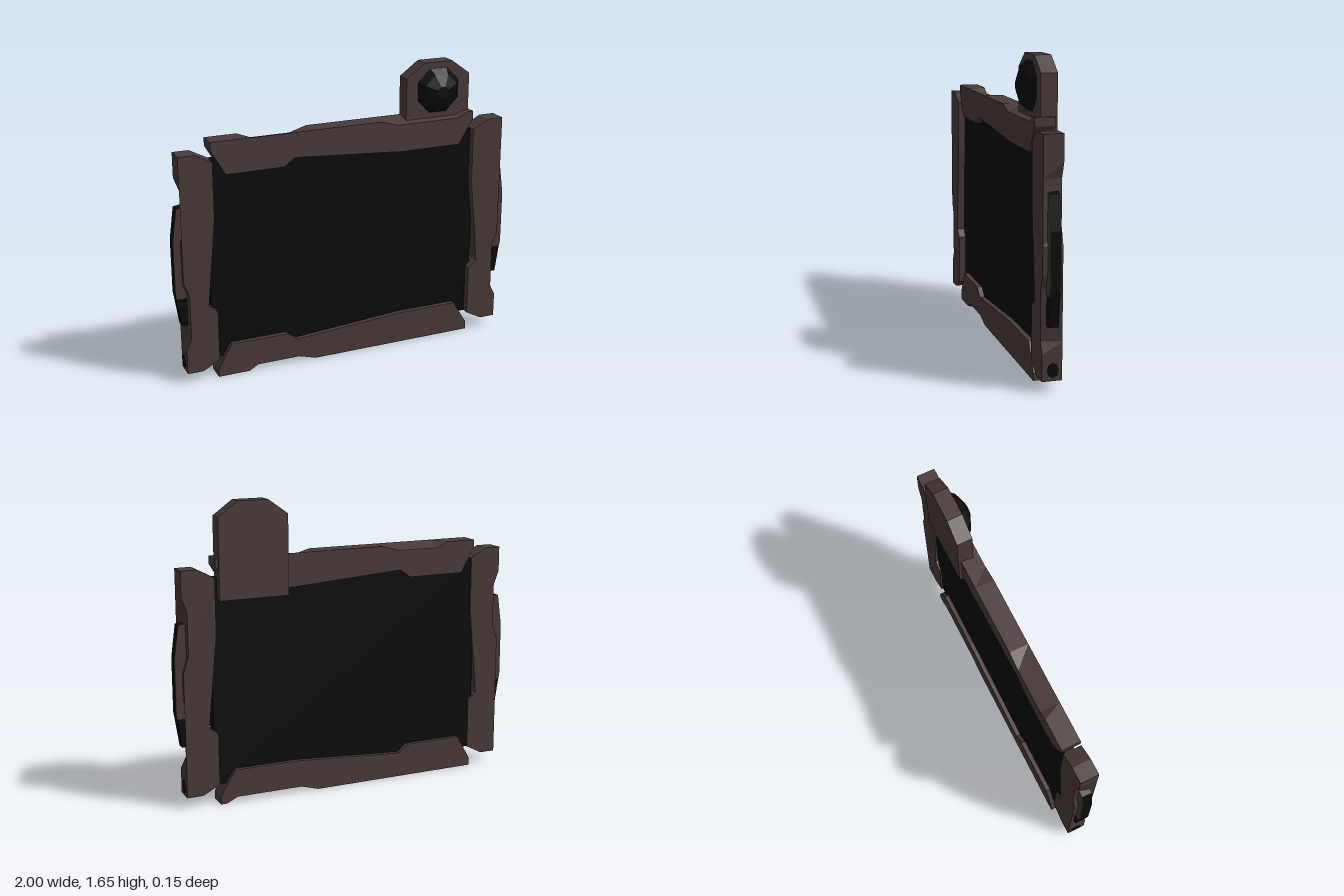
import * as THREE from 'three';

const casing = new THREE.MeshStandardMaterial({ color: 0x4a3b3a });
casing.name = 'dark brown casing';
const black = new THREE.MeshStandardMaterial({ color: 0x0b0b0b });
black.name = 'black glass';

// Flat-shaded solid between a front outline at z0 and a back outline at z1 (equal point counts)
function prism(front, back, z0, z1) {
  let f = front.map(([x, y]) => new THREE.Vector2(x, y));
  let b = back.map(([x, y]) => new THREE.Vector2(x, y));
  if (THREE.ShapeUtils.isClockWise(f)) {
    f.reverse();
    b.reverse();
  }
  const pos = [];
  const put = (p, z) => pos.push(p.x, p.y, z);
  for (const t of THREE.ShapeUtils.triangulateShape(f, [])) t.forEach(i => put(f[i], z0));
  for (const t of THREE.ShapeUtils.triangulateShape(b, [])) [t[0], t[2], t[1]].forEach(i => put(b[i], z1));
  f.forEach((p, i) => {
    const j = (i + 1) % f.length;
    put(p, z0); put(b[i], z1); put(b[j], z1);
    put(p, z0); put(b[j], z1); put(f[j], z0);
  });
  const g = new THREE.BufferGeometry();
  g.setAttribute('position', new THREE.Float32BufferAttribute(pos, 3));
  g.computeVertexNormals();
  return g;
}

export function createModel() {
  const model = new THREE.Group();
  const add = (name, geometry, material, x = 0, y = 0, z = 0) => {
    const m = new THREE.Mesh(geometry, material);
    m.name = name;
    m.position.set(x, y, z);
    model.add(m);
    return m;
  };

  // Screen slab
  add('screen', new THREE.BoxGeometry(1.6, 1.14, 0.055), black, 0, 0.68, -0.0075);

  // Bottom and top rails: shallow cut-outs on opposite outer edges, front and back
  const inner = [[0.775, 0.045], [0.69, 0.185], [0.33, 0.185], [-0.31, 0.14],
    [-0.37, 0.185], [-0.7, 0.185], [-0.78, 0.045]];
  const railOutline = (left, right) => [
    [-0.78, 0], [-0.6, 0], [-0.55, left], [-0.3, left], [-0.2, 0],
    [0.2, 0], [0.3, right], [0.68, right], [0.74, 0], [0.775, 0], ...inner];
  const d = 0.03;
  const flip = pts => pts.map(([x, y]) => [x, 1.355 - y]);
  add('bottomRail', prism(railOutline(d, 0), railOutline(0, d), 0.048, -0.06), casing);
  add('topRail', prism(flip(railOutline(0, d)), flip(railOutline(d, 0)), 0.048, -0.06), casing);

  // Side rails, handles and ports, mirrored
  const sideOutline = (low, high) => [
    [0.96, 0.06], [0.96, 0.2], [0.96 - low, 0.26], [0.96 - low, 0.52], [0.96, 0.6],
    [0.96, 0.75], [0.96 - high, 0.84], [0.96 - high, 1.08], [0.96, 1.16], [0.96, 1.3],
    [0.87, 1.3], [0.775, 1.25], [0.775, 0.94], [0.825, 0.44], [0.775, 0.4],
    [0.775, 0.11], [0.87, 0.06]];
  const grip = [[0.92, 0.34], [0.972, 0.34], [1, 0.53], [1, 0.83], [0.975, 1.01], [0.92, 1.02]];
  const gripCover = [[0.92, 0.5], [0.995, 0.5], [1, 0.53], [1, 0.83], [0.975, 1.01], [0.92, 1.02]];
  for (const s of [1, -1]) {
    const side = s > 0 ? 'left' : 'right';
    const m = pts => pts.map(([x, y]) => [x * s, y]);
    add(side + 'Rail', prism(m(sideOutline(d, 0)), m(sideOutline(0, d)), 0.06, -0.045), casing);
    add(side + 'Grip', prism(m(grip), m(grip), 0.031, -0.02), black);
    add(side + 'GripFrontCover', prism(m(gripCover), m(gripCover), 0.034, 0.031), casing);
    add(side + 'GripBackCover', prism(m(gripCover), m(gripCover), -0.02, -0.023), casing);
    const port = add(side + 'Port', new THREE.CylinderGeometry(0.03, 0.03, 0.008, 8), black, 0.959 * s, 0.115, 0.003);
    port.rotation.z = Math.PI / 2;
    port.scale.x = 1.3;
  }

  // Camera housing behind the top rail
  const housing = [[0.37, 1.13], [0.76, 1.13], [0.76, 1.57], [0.65, 1.65], [0.48, 1.65], [0.37, 1.57]];
  add('cameraHousing', prism(housing, housing, 0.012, -0.075), casing);

  // Faceted octagonal lens
  const profile = [[0.135, 0], [0.103, 0.039], [0.035, 0.066], [0, 0.066]]
    .map(([r, h]) => new THREE.Vector2(r, h));
  const lensGeometry = new THREE.LatheGeometry(profile, 8, Math.PI / 8).toNonIndexed();
  lensGeometry.computeVertexNormals();
  const lens = add('lens', lensGeometry, black, 0.565, 1.49, 0.012);
  lens.rotation.x = Math.PI / 2;

  return model;
}
